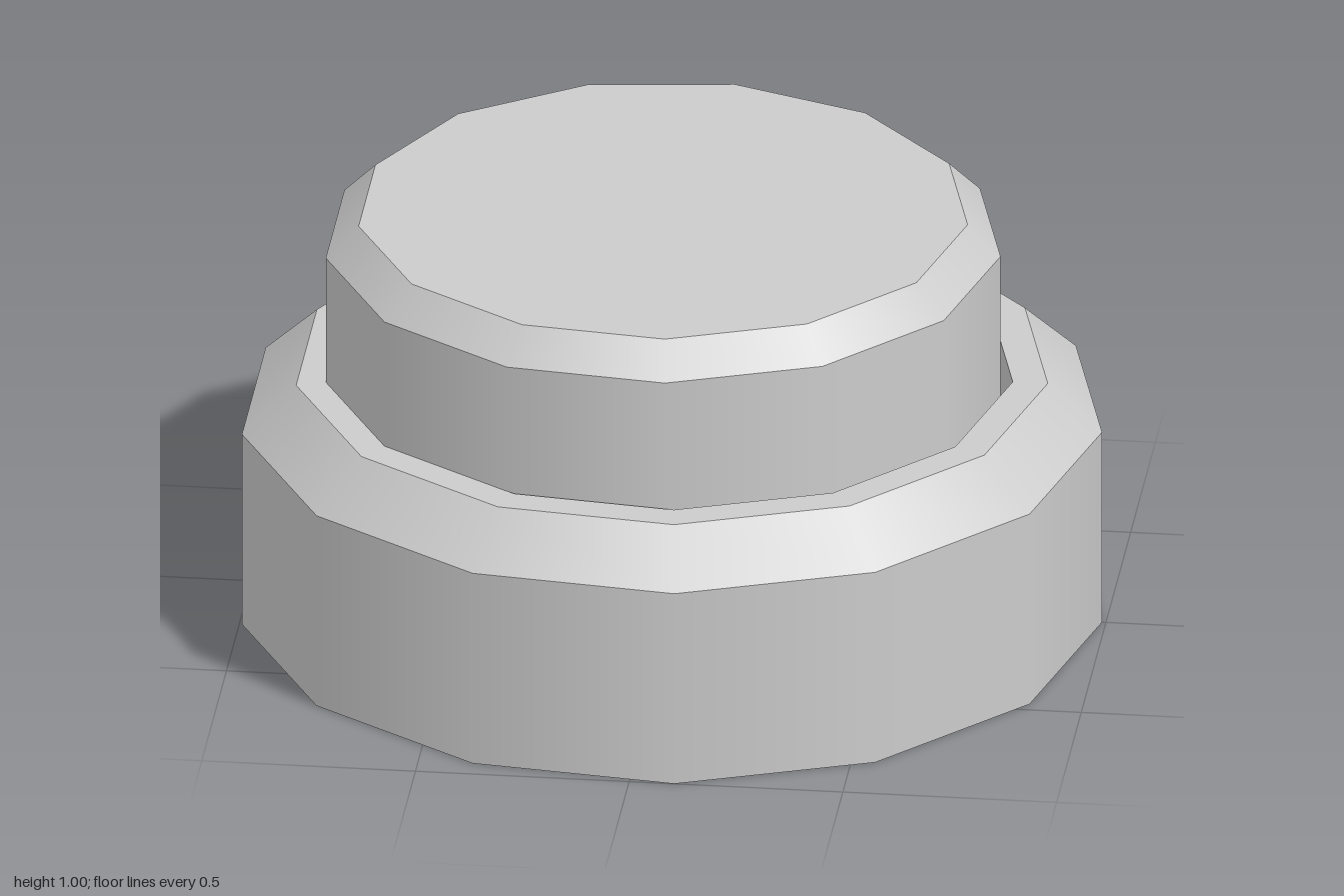
import * as THREE from 'three';
import { mergeGeometries } from 'three/addons/utils/BufferGeometryUtils.js';

const SIDES = 13;

// One lathe band per profile segment: smooth around the axis, sharp between bands.
function bandedLathe(profile) {
  const bands = [];
  for (let i = 0; i < profile.length - 1; i++) {
    const pair = [profile[i], profile[i + 1]].map(([r, y]) => new THREE.Vector2(r, y));
    bands.push(new THREE.LatheGeometry(pair, SIDES, Math.PI / 2));
  }
  return mergeGeometries(bands);
}

export function createModel() {
  const group = new THREE.Group();
  const material = new THREE.MeshStandardMaterial({ color: 0xcccccc, side: THREE.DoubleSide });

  const addPart = (name, profile, x, z) => {
    const mesh = new THREE.Mesh(bandedLathe(profile), material);
    mesh.name = name;
    mesh.position.set(x, 0, z);
    group.add(mesh);
  };

  // Open-bottomed collar: outer wall, bevel, flat rim, inner sleeve
  addPart('collar', [
    [1.007, 0], [1.007, 0.487], [0.88, 0.605], [0.798, 0.605], [0.783, 0.2],
  ], -0.016, 0);

  // Bevelled push cap, open underneath and slightly off-centre in the sleeve
  addPart('pushCap', [
    [0.79, 0.5], [0.79, 0.923], [0.713, 1], [0, 1],
  ], -0.037, -0.004);

  return group;
}
